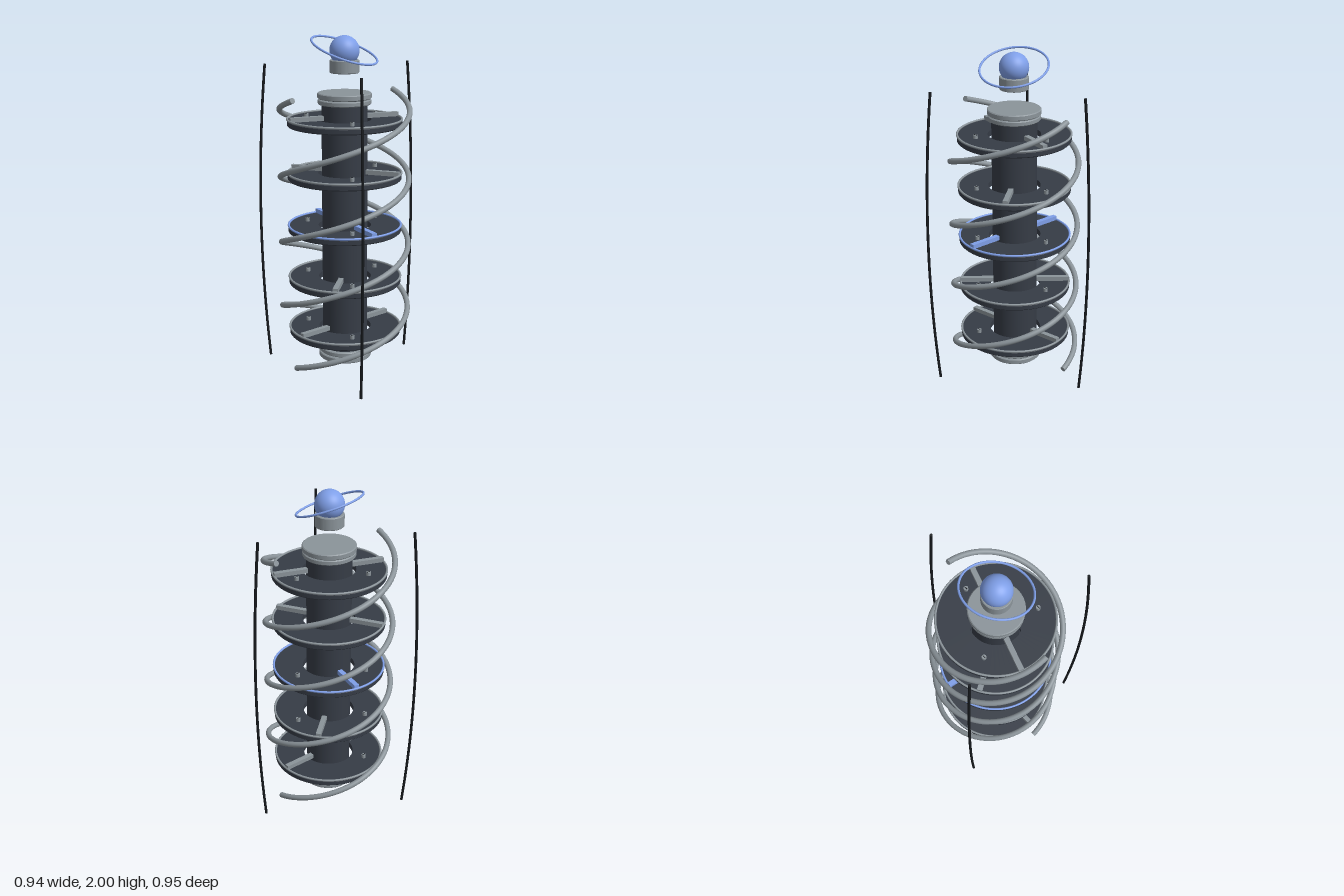
import * as THREE from 'three';
import { toCreasedNormals } from 'three/addons/utils/BufferGeometryUtils.js';

const mat = (color) => new THREE.MeshStandardMaterial({ color });
const steel = mat(0x8b949a);
const dark = mat(0x363c46);
const black = mat(0x16191d);
const blue = mat(0x7f9fe8);

function add(parent, name, geometry, material, x = 0, y = 0, z = 0) {
  const mesh = new THREE.Mesh(geometry, material);
  mesh.name = name;
  mesh.position.set(x, y, z);
  parent.add(mesh);
  return mesh;
}

// Turned part from [radius, height] pairs, with crisp edges
function turned(pairs) {
  const points = pairs.map(([r, y]) => new THREE.Vector2(r, y));
  return toCreasedNormals(new THREE.LatheGeometry(points, 64), 0.5);
}

// Round rod along a curve, closed with flat ends
function rod(parent, name, curve, segments, radius, material) {
  const group = new THREE.Group();
  group.name = name;
  add(group, name + 'Tube', new THREE.TubeGeometry(curve, segments, radius, 14), material);
  for (const [t, sign] of [[0, -1], [1, 1]]) {
    const p = curve.getPoint(t);
    const cap = add(group, name + 'End', new THREE.CircleGeometry(radius, 14), material, p.x, p.y, p.z);
    cap.lookAt(p.clone().addScaledVector(curve.getTangent(t), sign));
  }
  parent.add(group);
}

class Helix extends THREE.Curve {
  constructor(phase) {
    super();
    this.phase = phase;
  }
  getPoint(t, target = new THREE.Vector3()) {
    const a = this.phase + t * Math.PI * 4;
    return target.set(0.375 * Math.cos(a), 0.083 + 1.58 * t, -0.375 * Math.sin(a));
  }
}

// Flat ring with rim, two opposed spokes and three slotted screws
function makeDisc(index) {
  const disc = new THREE.Group();
  disc.name = 'disc' + (index + 1);
  const trim = index === 2 ? blue : steel;
  add(disc, 'discPlate', turned([
    [0.155, -0.018], [0.327, -0.018], [0.333, -0.012],
    [0.333, 0.012], [0.327, 0.018], [0.155, 0.018], [0.155, -0.018],
  ]), dark);
  const rim = add(disc, 'discRim', new THREE.TorusGeometry(0.331, 0.0065, 10, 80), trim, 0, 0.021, 0);
  rim.rotation.x = Math.PI / 2;

  const spokes = new THREE.Group();
  spokes.name = 'spokes';
  spokes.rotation.y = -THREE.MathUtils.degToRad(180 - 40 * index);
  for (const side of [-1, 1]) {
    add(spokes, 'spoke', new THREE.BoxGeometry(0.21, 0.026, 0.03), trim, side * 0.226, 0.031, 0);
  }
  disc.add(spokes);

  for (let i = 0; i < 3; i++) {
    const a = (i * Math.PI * 2) / 3;
    const x = 0.237 * Math.cos(a), z = 0.237 * Math.sin(a);
    add(disc, 'screw', new THREE.CylinderGeometry(0.013, 0.013, 0.022, 16), steel, x, 0.028, z);
    add(disc, 'screwSlot', new THREE.BoxGeometry(0.02, 0.003, 0.004), black, x, 0.039, z);
  }
  return disc;
}

export function createModel() {
  const model = new THREE.Group();
  model.name = 'coilColumn';
  const body = new THREE.Group();
  body.name = 'body';
  body.position.x = -0.08;
  model.add(body);

  // Central column with a double collar at each end
  add(body, 'column', new THREE.CylinderGeometry(0.133, 0.133, 1.55, 48), dark, 0, 0.873, 0);
  for (const end of [-1, 1]) {
    for (const [name, r, h, offset] of [['endCap', 0.157, 0.033, 0.786], ['collar', 0.154, 0.029, 0.751]]) {
      add(body, name, turned([
        [0, -h / 2], [r - 0.005, -h / 2], [r, -h / 2 + 0.005],
        [r, h / 2 - 0.005], [r - 0.005, h / 2], [0, h / 2],
      ]), steel, 0, 0.873 + end * offset, 0);
    }
  }

  // Five discs, each turned 40 degrees from the next
  for (let i = 0; i < 5; i++) {
    const disc = makeDisc(i);
    disc.position.y = 0.873 + (i - 2) * 0.315;
    body.add(disc);
  }

  // Double helix of two full turns
  rod(body, 'firstCoil', new Helix(0), 220, 0.0165, steel);
  rod(body, 'secondCoil', new Helix(Math.PI), 220, 0.0165, steel);

  // Three bowed outer struts
  for (let i = 0; i < 3; i++) {
    const a = (i * Math.PI * 2) / 3;
    const at = (r, y) => new THREE.Vector3(r * Math.cos(a), y, r * Math.sin(a));
    rod(body, 'outerStrut', new THREE.QuadraticBezierCurve3(at(0.495, 0.001), at(0.587, 0.91), at(0.495, 1.82)), 40, 0.008, black);
  }

  // Floating crown: socket, ball and tilted ring
  add(body, 'ballSocket', turned([
    [0, -0.037], [0.081, -0.037], [0.085, -0.033], [0.085, 0.033], [0.081, 0.037], [0, 0.037],
  ]), steel, 0, 1.825, 0);
  add(body, 'ball', new THREE.SphereGeometry(0.086, 40, 28), blue, 0, 1.914, 0);
  const ring = add(body, 'ballRing', new THREE.TorusGeometry(0.197, 0.0065, 12, 80), blue, 0, 1.916, 0);
  ring.quaternion.setFromUnitVectors(new THREE.Vector3(0, 0, 1), new THREE.Vector3(0.14, 1, 0.36).normalize());

  return model;
}
